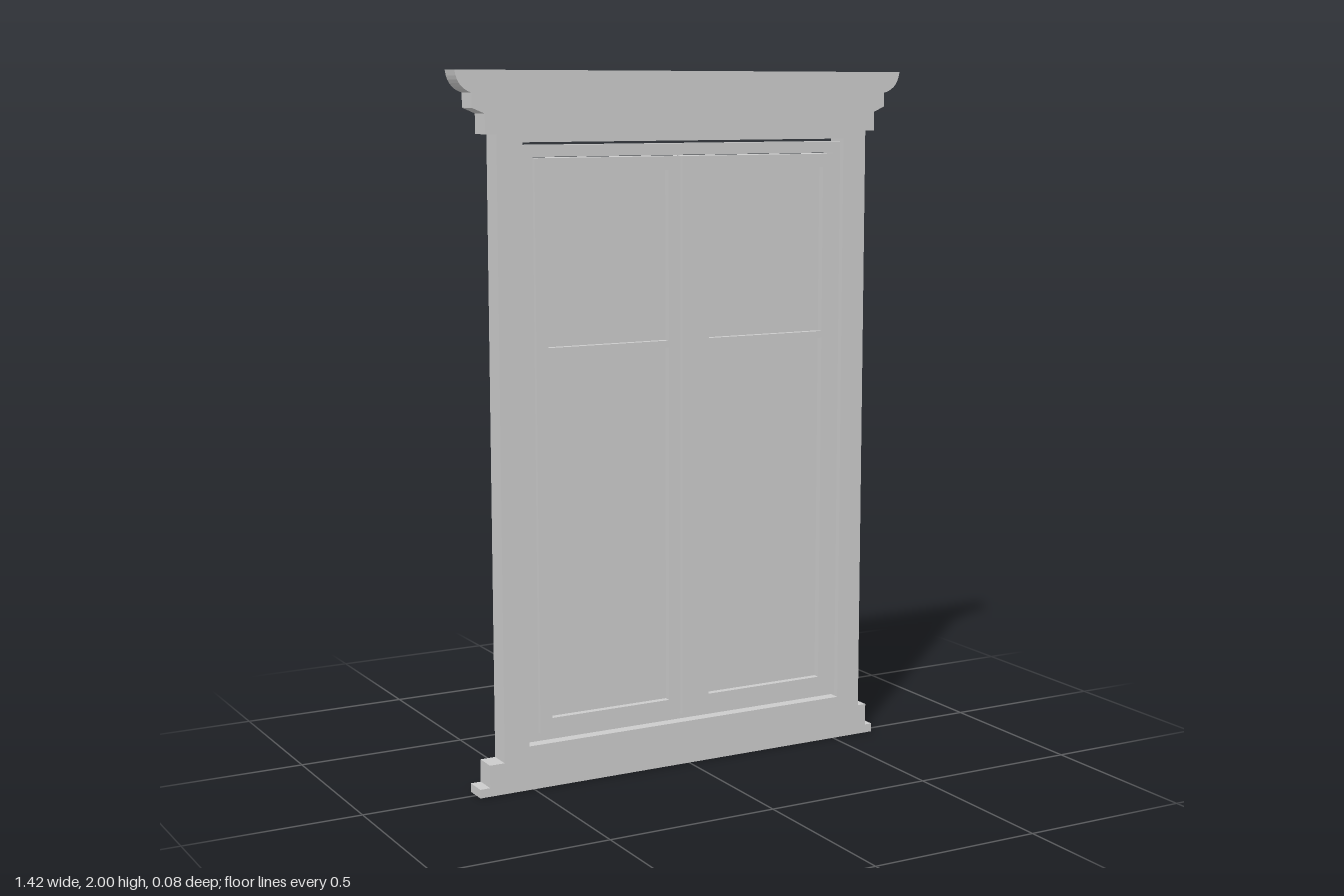
import * as THREE from 'three';

const material = new THREE.MeshStandardMaterial({ color: 0xcccccc, flatShading: true });

// Flat plate with optional holes, spanning z0..z1
function plate(name, shape, z0, z1) {
  const geo = new THREE.ExtrudeGeometry(shape, { depth: z1 - z0, bevelEnabled: false, curveSegments: 6 });
  geo.translate(0, 0, z0);
  const mesh = new THREE.Mesh(geo, material);
  mesh.name = name;
  return mesh;
}

function rect(x0, y0, x1, y1, Type = THREE.Shape) {
  const s = new Type();
  s.moveTo(x0, y0);
  s.lineTo(x1, y0);
  s.lineTo(x1, y1);
  s.lineTo(x0, y1);
  s.closePath();
  return s;
}

function box(name, x0, y0, z0, x1, y1, z1) {
  const mesh = new THREE.Mesh(new THREE.BoxGeometry(x1 - x0, y1 - y0, z1 - z0), material);
  mesh.position.set((x0 + x1) / 2, (y0 + y1) / 2, (z0 + z1) / 2);
  mesh.name = name;
  return mesh;
}

export function createModel() {
  const model = new THREE.Group();
  model.name = 'window';

  // Surround: stepped sill, jambs and moulded cornice as one cut-out plate
  const surround = new THREE.Shape();
  surround.moveTo(-0.665, 0);
  [[0.64, 0], [0.64, 0.025], [0.617, 0.025], [0.617, 0.09], [0.59, 0.09],
    [0.59, 1.83], [0.62, 1.83], [0.62, 1.885], [0.655, 1.9], [0.655, 1.94]]
    .forEach(([x, y]) => surround.lineTo(x, y));
  surround.quadraticCurveTo(0.695, 1.95, 0.705, 1.985);
  surround.lineTo(0.708, 2);
  surround.lineTo(-0.708, 2);
  surround.lineTo(-0.705, 1.985);
  surround.quadraticCurveTo(-0.695, 1.95, -0.66, 1.94);
  [[-0.66, 1.9], [-0.623, 1.885], [-0.623, 1.83], [-0.59, 1.83], [-0.59, 0.09],
    [-0.635, 0.09], [-0.635, 0.025], [-0.665, 0.025]]
    .forEach(([x, y]) => surround.lineTo(x, y));
  surround.closePath();
  surround.holes.push(rect(-0.514, 0.127, 0.514, 1.808, THREE.Path));
  model.add(plate('surround', surround, -0.036, 0.03));

  // Inner frame, set in with a narrow gap
  const inner = rect(-0.511, 0.136, 0.508, 1.8);
  inner.holes.push(rect(-0.481, 0.16, 0.484, 1.768, THREE.Path));
  model.add(plate('innerFrame', inner, -0.03, 0.022));

  // Two sashes: solid backing with a raised front frame around the panes
  for (const side of [-1, 1]) {
    const sash = new THREE.Group();
    sash.name = side > 0 ? 'leftSash' : 'rightSash';
    const x0 = side > 0 ? 0.002 : -0.48;
    const x1 = side > 0 ? 0.48 : -0.002;
    const p0 = side > 0 ? 0.063 : -0.443;
    const p1 = side > 0 ? 0.443 : -0.068;
    sash.add(box('panel', x0, 0.16, -0.042, x1, 1.765, 0.012));
    const frame = rect(x0, 0.16, x1, 1.765);
    frame.holes.push(rect(p0, 0.2, p1, 1.228, THREE.Path));
    frame.holes.push(rect(p0, 1.248, p1, 1.727, THREE.Path));
    sash.add(plate('sashFrame', frame, 0.012, 0.032));
    model.add(sash);
  }

  // Cover strip over the meeting line
  model.add(box('centreStrip', -0.03, 0.154, 0.012, 0.027, 1.765, 0.042));

  return model;
}
